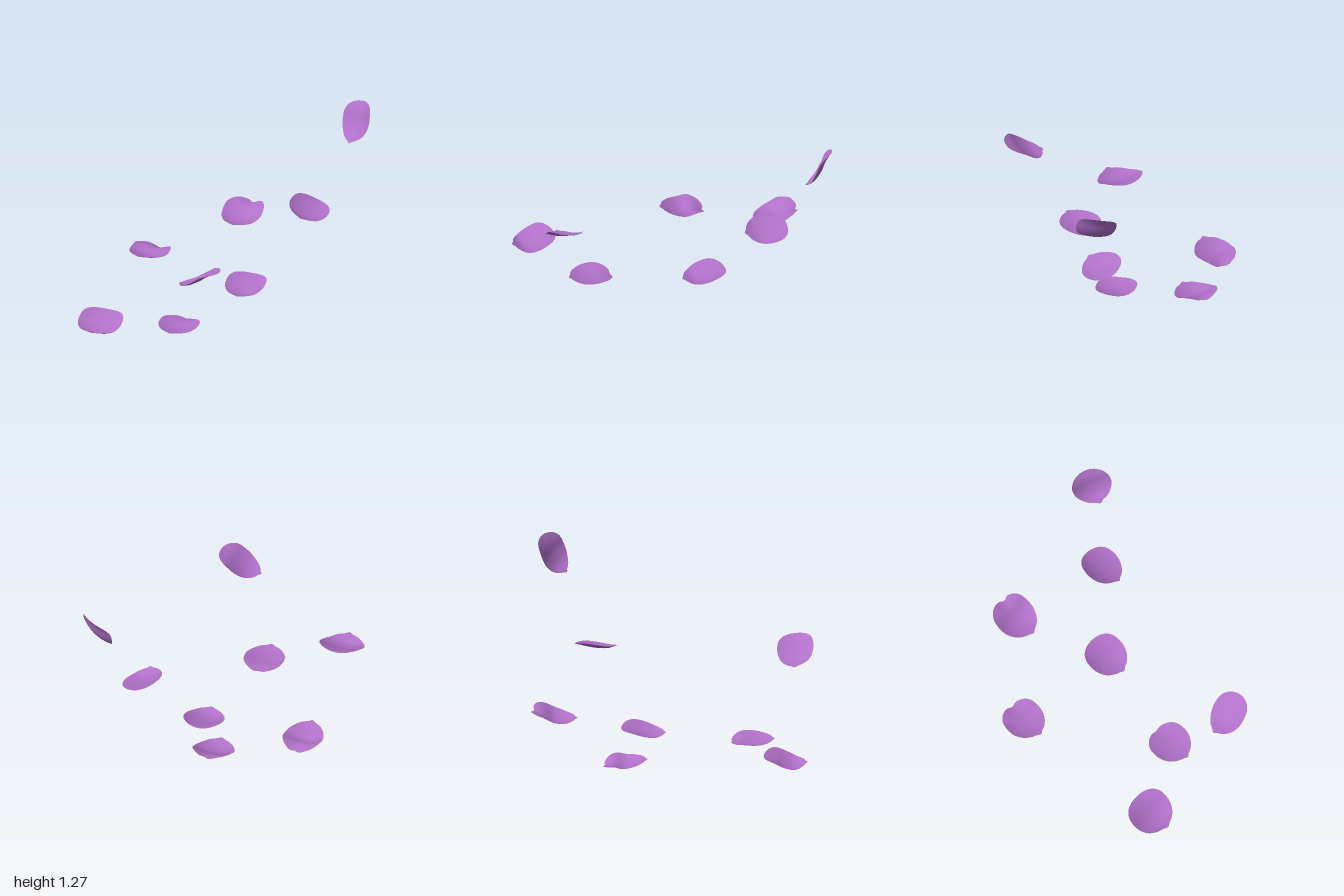
import * as THREE from 'three';
import { mergeVertices } from 'three/addons/utils/BufferGeometryUtils.js';

const material = new THREE.MeshStandardMaterial({ color: 0xb070c8, side: THREE.DoubleSide });

// One thin petal: its pointed base looks along local +z, its broad end along -z.
// heights: spine heights from base to end; cup: rise of the sides; notch: dent in the end.
function petalGeometry({ W, L, heights, cup, notch = 0, notchAt = 0, ruffle = 0 }) {
  const spine = new THREE.SplineCurve(heights.map((h, i) => new THREE.Vector2(i, h)));
  const ring = new THREE.RingGeometry(0, 1, 72, 12);
  ring.deleteAttribute('uv');
  ring.deleteAttribute('normal');
  const geometry = mergeVertices(ring, 1e-5);
  const p = geometry.attributes.position;
  for (let i = 0; i < p.count; i++) {
    const r = Math.hypot(p.getX(i), p.getY(i));
    const a = Math.atan2(-p.getX(i), p.getY(i));
    const c = Math.cos(a), s = Math.sin(a);
    // outline: rounded, broader shoulders at the end, small point at the base
    const body = c > 0 ? c * (L - 0.015) : -Math.pow(-c, 0.85) * L;
    const point = 0.015 * Math.exp(-((a / 0.14) ** 2));
    const fromEnd = Math.abs(a) > Math.PI / 2 ? s - notchAt : 9;
    const dent = notch * Math.exp(-((fromEnd / 0.16) ** 2));
    const x = r * W * s * (1 - 0.1 * c);
    const z = r * (body + point) + dent * r ** 4;
    // surface: spine curve, cupped sides, slight waves towards the end
    const t = THREE.MathUtils.clamp((L - z) / (2 * L), 0, 1);
    const wave = ruffle * Math.cos(5 * a + 0.6) * r ** 3 * Math.max(0, -c);
    p.setXYZ(i, x, spine.getPoint(t).y + cup * (x / W) ** 2 + wave, z);
  }
  geometry.computeVertexNormals();
  return geometry;
}

// tip: direction of the pointed base; up: direction of the cupped face
function addPetal(group, name, { at, tip = [0, 0, 1], up = [0, 1, 0], ...shape }) {
  const mesh = new THREE.Mesh(petalGeometry(shape), material);
  const y = new THREE.Vector3(...up).normalize();
  const x = new THREE.Vector3().crossVectors(y, new THREE.Vector3(...tip)).normalize();
  const z = new THREE.Vector3().crossVectors(x, y);
  mesh.quaternion.setFromRotationMatrix(new THREE.Matrix4().makeBasis(x, y, z));
  mesh.position.set(...at);
  mesh.name = name;
  group.add(mesh);
}

export function createModel() {
  const group = new THREE.Group();
  group.name = 'fallingPetals';

  // petals lying nearly level
  addPetal(group, 'backPetal', {
    at: [-0.18, 0, -0.83], W: 0.146, L: 0.168, cup: 0.035,
    heights: [0.24, 0.215, 0.222, 0.265, 0.285], notch: 0.022, notchAt: 0.2, ruffle: 0.008,
  });
  addPetal(group, 'rightPetal', {
    at: [-0.675, 0, -0.3], tip: [-0.06, 0, 1], W: 0.142, L: 0.163, cup: 0.032,
    heights: [0.142, 0.105, 0.083, 0.098, 0.08], notch: 0.018, notchAt: 0.1, ruffle: 0.008,
  });
  addPetal(group, 'middlePetal', {
    at: [0.095, 0, -0.208], W: 0.144, L: 0.16, cup: 0.035,
    heights: [0.025, 0.004, 0.012, 0.035, 0.055],
  });
  addPetal(group, 'frontRightPetal', {
    at: [-0.593, 0, 0.838], W: 0.16, L: 0.157, cup: 0.035,
    heights: [0.11, 0.075, 0.085, 0.122, 0.148],
  });
  addPetal(group, 'frontPetal', {
    at: [-0.098, 0, 0.577], W: 0.144, L: 0.158, cup: 0.025,
    heights: [0.075, 0.055, 0.05, 0.055, 0.05], notch: 0.01, ruffle: 0.004,
  });

  // tilted petals in the air
  addPetal(group, 'leftPetal', {
    at: [0.438, 0.545, -0.56], up: [0.31, 0.95, 0], W: 0.143, L: 0.158, cup: 0.03,
    heights: [0, -0.022, -0.022, -0.01, 0.005],
  });
  addPetal(group, 'frontLeftPetal', {
    at: [0.178, 0.64, 0.865], tip: [-0.92, -0.39, 0], up: [-0.39, 0.9, -0.15],
    W: 0.13, L: 0.168, cup: 0.025, heights: [0, -0.025, -0.02, 0, 0.005],
  });
  addPetal(group, 'highPetal', {
    at: [0.68, 1.13, -0.88], tip: [-0.03, -0.12, 0.11], up: [-0.46, 0.6, 0.66],
    W: 0.142, L: 0.16, cup: 0.03, heights: [0, -0.025, -0.02, 0.005, 0.015],
  });
  return group;
}
